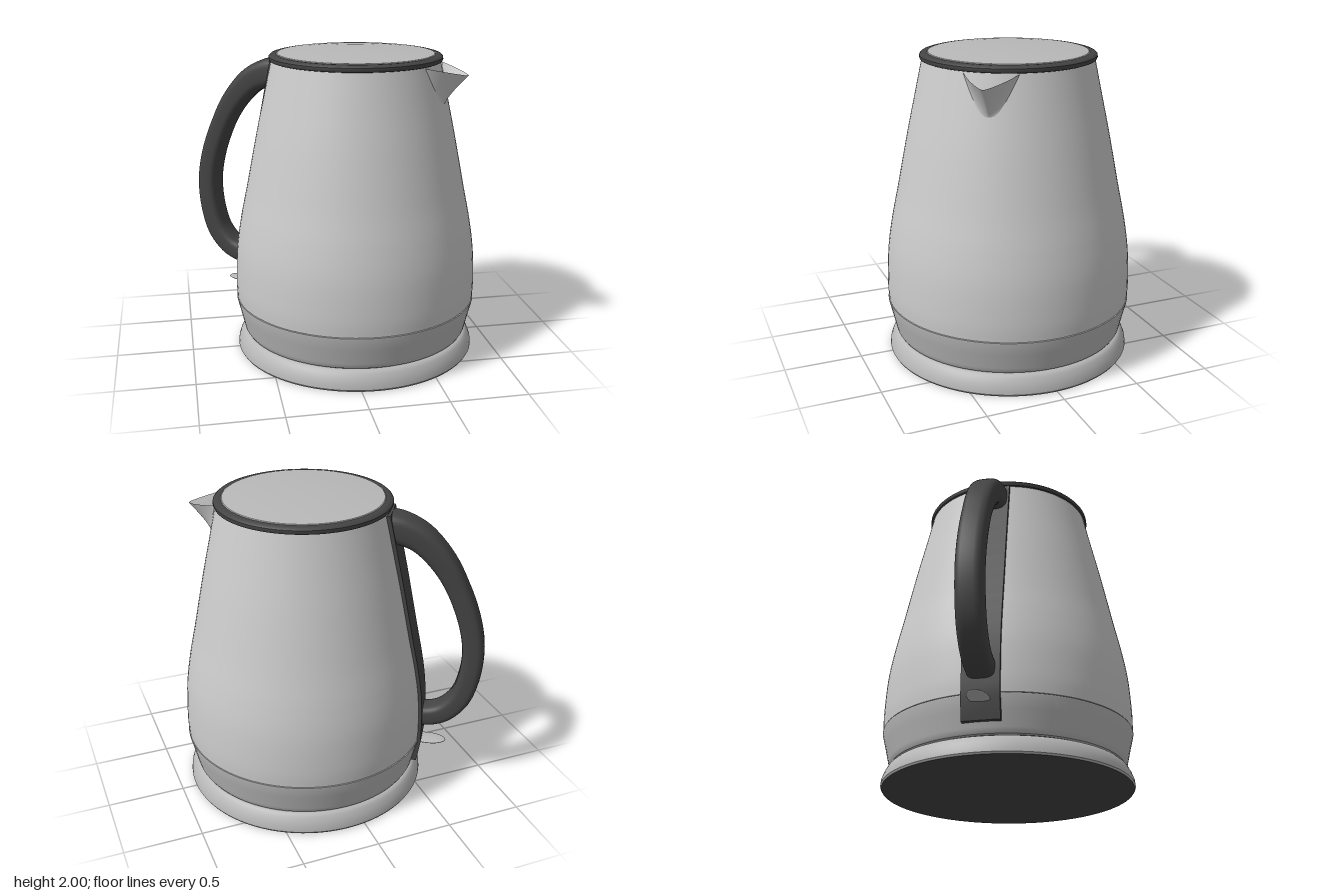
import * as THREE from 'three';
import { toCreasedNormals } from 'three/addons/utils/BufferGeometryUtils.js';

const V2 = (p) => new THREE.Vector2(p[0], p[1]);
const mat = (color, side = THREE.FrontSide) =>
  new THREE.MeshStandardMaterial({ color, side });
const steel = mat(0xf0f0f0), grey = mat(0xb8b8b8), dark = mat(0x444444);

function add(parent, name, geometry, material) {
  const mesh = new THREE.Mesh(geometry, material);
  mesh.name = name;
  parent.add(mesh);
  return mesh;
}

const lathe = (pts) => toCreasedNormals(new THREE.LatheGeometry(pts.map(V2), 96), 0.6);

// Grid of points (rows x cols) turned into a smooth surface
function gridSurface(rows, cols, pointAt) {
  const pos = [], idx = [];
  for (let i = 0; i <= rows; i++)
    for (let j = 0; j <= cols; j++) pos.push(...pointAt(i / rows, j / cols));
  for (let i = 0; i < rows; i++)
    for (let j = 0; j < cols; j++) {
      const a = i * (cols + 1) + j, c = a + cols + 1;
      idx.push(a, a + 1, c, a + 1, c + 1, c);
    }
  const g = new THREE.BufferGeometry();
  g.setAttribute('position', new THREE.Float32BufferAttribute(pos, 3));
  g.setIndex(idx);
  g.computeVertexNormals();
  return g;
}

// Body wall as [radius, height]
const wall = new THREE.SplineCurve([
  [0.797, 0.365], [0.8, 0.48], [0.788, 0.7], [0.757, 0.9], [0.715, 1.1],
  [0.675, 1.3], [0.634, 1.5], [0.59, 1.7], [0.54, 1.93],
].map(V2)).getPoints(40);

function wallRadius(y) {
  for (let i = 1; i < wall.length; i++) {
    const a = wall[i - 1], b = wall[i];
    if (y <= b.y) return a.x + (b.x - a.x) * Math.max(0, (y - a.y) / (b.y - a.y));
  }
  return wall[wall.length - 1].x;
}

// Handle: rounded section swept along a curve in the xy plane
function handleGeometry() {
  const path = new THREE.SplineCurve([
    [-0.5, 1.82], [-0.62, 1.81], [-0.76, 1.74], [-0.91, 1.57], [-1.03, 1.33], [-1.095, 1.1],
    [-1.1, 0.9], [-1.055, 0.7], [-0.97, 0.58], [-0.87, 0.525], [-0.74, 0.51],
  ].map(V2));
  const soft = (v) => Math.sign(v) * Math.pow(Math.abs(v), 0.6);
  return gridSurface(60, 32, (t, s) => {
    const p = path.getPoint(t), d = path.getTangent(t), ang = s * Math.PI * 2;
    const flare = Math.max(0, 1 - t / 0.35);
    const a = (0.07 + 0.035 * flare) * soft(Math.cos(ang));
    const b = (0.085 + 0.023 * flare) * soft(Math.sin(ang));
    return [p.x - d.y * a, p.y + d.x * a, b];
  });
}

// Pouring lip: pulled out to a rounded point at the top, fading into the wall below
function spoutGeometry() {
  return gridSurface(20, 40, (t, s) => {
    const u = s * 2 - 1;
    const peak = Math.pow(1 - Math.sqrt((u * u + 0.006) / 1.006), 1.1);
    const y = 1.925 - 0.25 * t - 0.055 * peak * (1 - t);
    const ang = u * 0.31 * (1 - 0.75 * t);
    const r = wallRadius(y) + 0.003 * (1 - t) - 0.004 * t
      + 0.205 * peak * Math.pow(1 - t, 1.25);
    return [r * Math.cos(ang), y, r * Math.sin(ang)];
  });
}

// Flat strip that follows the wall behind the handle
function stripGeometry() {
  const outer = [[-0.79, 0.2], [-0.812, 0.34]], inner = [[-0.7, 0.2], [-0.74, 0.34]];
  for (let y = 0.42; y < 1.93; y += 0.1) {
    outer.push([-wallRadius(y) - 0.013, y]);
    inner.push([-wallRadius(y) + 0.06, y]);
  }
  const shape = new THREE.Shape([...outer, ...inner.reverse()].map(V2));
  const g = new THREE.ExtrudeGeometry(shape, { depth: 0.23, bevelEnabled: false });
  g.translate(0, 0, -0.115);
  return toCreasedNormals(g, 0.5);
}

export function createModel() {
  const model = new THREE.Group();
  model.name = 'kettle';

  // Turned so the spout (+x here) points to the front left
  const kettle = new THREE.Group();
  kettle.name = 'kettleBody';
  kettle.position.x = 0.11;
  kettle.rotation.y = -THREE.MathUtils.degToRad(33.5);
  model.add(kettle);

  // Power base
  add(kettle, 'powerBase', lathe([
    [0.79, 0], [0.797, 0.012], [0.794, 0.04], [0.781, 0.075], [0.765, 0.105],
    [0.752, 0.12], [0.735, 0.125], [0, 0.125],
  ]), grey);
  const foot = add(kettle, 'baseUnderside', new THREE.CircleGeometry(0.79, 96), dark);
  foot.rotation.x = Math.PI / 2;
  add(kettle, 'baseGap', new THREE.CylinderGeometry(0.725, 0.725, 0.02, 96), dark)
    .position.y = 0.128;

  // Lower band and wall
  add(kettle, 'lowerBand', lathe([
    [0, 0.131], [0.73, 0.131], [0.743, 0.135], [0.752, 0.15], [0.757, 0.17],
    [0.78, 0.27], [0.8, 0.35], [0.8, 0.36], [0.785, 0.362],
  ]), grey);
  add(kettle, 'wall', lathe([[0.785, 0.362], ...wall.map((p) => [p.x, p.y])]), steel);
  add(kettle, 'spout', spoutGeometry(), mat(0xf0f0f0, THREE.DoubleSide));

  // Lid
  add(kettle, 'lidRim', lathe([
    [0, 1.928], [0.535, 1.928], [0.549, 1.933], [0.554, 1.945], [0.553, 1.958],
    [0.543, 1.968], [0.525, 1.973], [0.505, 1.973],
  ]), dark);
  add(kettle, 'lid', lathe([
    [0.507, 1.97], [0.5, 1.977], [0.4, 1.986], [0.25, 1.995], [0.12, 1.999], [0, 2],
  ]), grey);

  // Handle, strip and switch
  add(kettle, 'handle', handleGeometry(), dark);
  add(kettle, 'handleStrip', stripGeometry(), dark);
  const lever = add(kettle, 'switchLever', new THREE.SphereGeometry(1, 24, 12), grey);
  lever.scale.set(0.12, 0.011, 0.065);
  lever.position.set(-0.85, 0.315, 0);
  return model;
}
